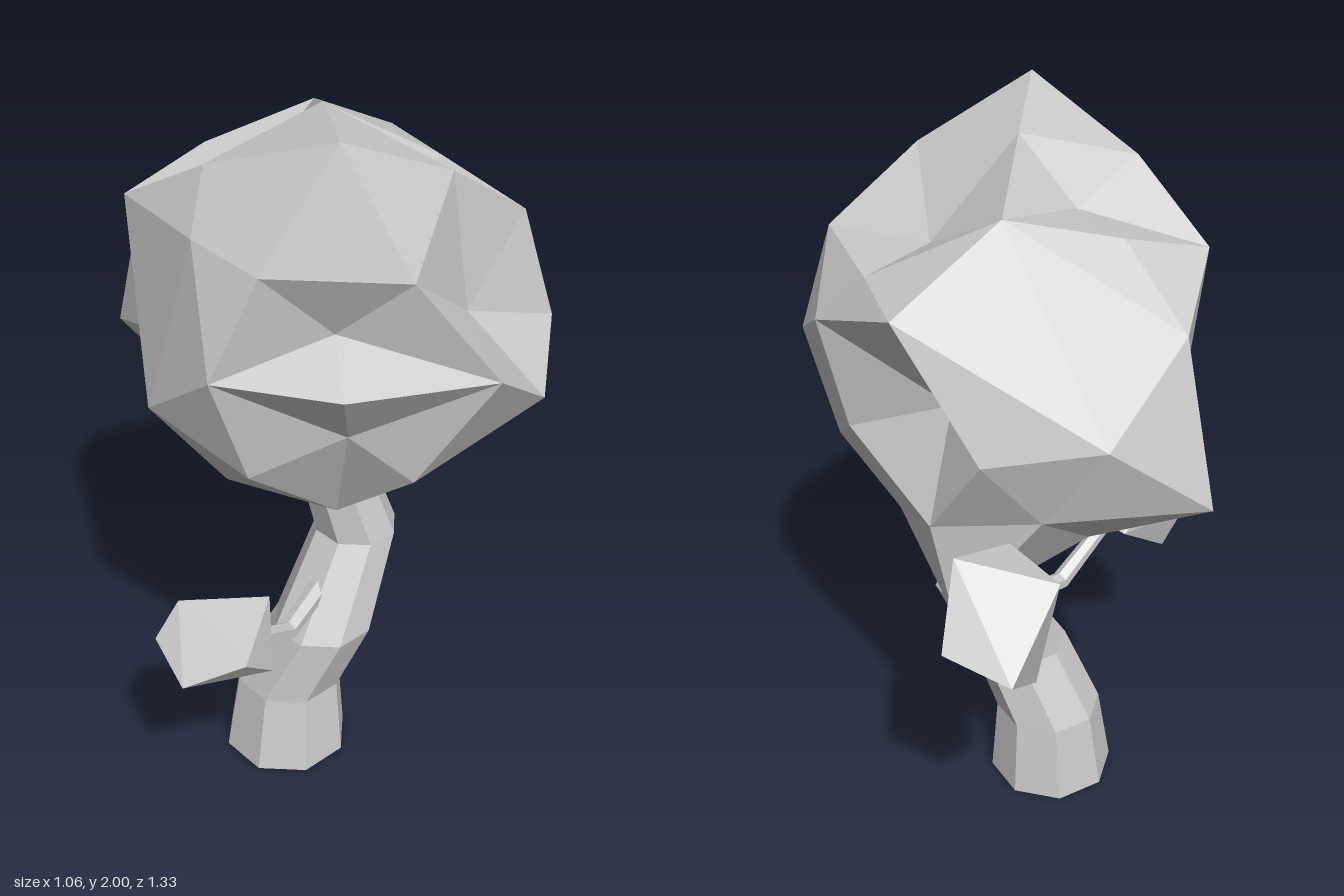
import * as THREE from 'three';
import { ConvexGeometry } from 'three/addons/geometries/ConvexGeometry.js';

const material = new THREE.MeshStandardMaterial({ color: 0xcccccc, flatShading: true });
const UP = new THREE.Vector3(0, 1, 0);

function addMesh(parent, name, geometry) {
  geometry.computeVertexNormals();
  const mesh = new THREE.Mesh(geometry, material);
  mesh.name = name;
  parent.add(mesh);
}

const toVectors = (corners) => corners.map((c) => new THREE.Vector3(...c));

// Bent tapering limb: each ring is [x, y, z, radius]; tilted rings follow the path.
function limb(rings, sides, spin, tilted) {
  const last = rings.length - 1;
  const geometry = new THREE.CylinderGeometry(1, 1, last, sides, last);
  geometry.rotateY(spin);
  const centres = rings.map(([x, y, z]) => new THREE.Vector3(x, y, z));
  const turns = centres.map((c, i) => {
    const dir = centres[Math.min(i + 1, last)].clone().sub(centres[Math.max(i - 1, 0)]).normalize();
    return new THREE.Quaternion().setFromUnitVectors(UP, tilted ? dir : UP);
  });
  const pos = geometry.attributes.position;
  const v = new THREE.Vector3();
  for (let i = 0; i < pos.count; i++) {
    v.fromBufferAttribute(pos, i);
    const k = Math.round(v.y + last / 2);
    v.y = 0;
    v.multiplyScalar(rings[k][3]).applyQuaternion(turns[k]).add(centres[k]);
    pos.setXYZ(i, v.x, v.y, v.z);
  }
  return geometry;
}

// Faceted crown: the corners are joined as seen from the centre, which allows dents and spikes.
function crown(corners, centre) {
  const points = toVectors(corners);
  const dirs = points.map((p) => p.clone().sub(centre).normalize());
  const geometry = new ConvexGeometry(dirs);
  const pos = geometry.attributes.position;
  const v = new THREE.Vector3();
  for (let i = 0; i < pos.count; i++) {
    v.fromBufferAttribute(pos, i);
    let best = 0;
    dirs.forEach((d, k) => { if (d.distanceToSquared(v) < dirs[best].distanceToSquared(v)) best = k; });
    pos.setXYZ(i, points[best].x, points[best].y, points[best].z);
  }
  return geometry;
}

export function createModel() {
  const tree = new THREE.Group();
  tree.name = 'tree';

  // Bent eight-sided trunk
  addMesh(tree, 'trunk', limb([
    [-0.065, 0, 0.035, 0.178],
    [-0.055, 0.235, 0.035, 0.15],
    [0.022, 0.445, 0.095, 0.14],
    [0.148, 0.7, 0.045, 0.115],
    [0.06, 1.0, 0.02, 0.095],
  ], 8, 0.65, false));

  // Crooked side branches
  addMesh(tree, 'rightBranch', limb([
    [0.02, 0.575, 0.1, 0.03], [-0.14, 0.535, 0.2, 0.027], [-0.33, 0.66, 0.31, 0.02],
  ], 6, 0, true));
  addMesh(tree, 'backBranch', limb([
    [0.14, 0.675, 0, 0.035], [0.18, 0.69, -0.2, 0.028], [0.23, 0.9, -0.41, 0.02],
  ], 6, 0, true));

  // Faceted leaf clusters on the branch ends
  addMesh(tree, 'rightLeafCluster', new ConvexGeometry(toVectors([
    [-0.275, 0.83, 0.375], [-0.39, 0.73, 0.48], [-0.53, 0.69, 0.24], [-0.53, 0.66, 0.41],
    [-0.48, 0.55, 0.27], [-0.455, 0.77, 0.22], [-0.245, 0.7, 0.28], [-0.29, 0.63, 0.42],
    [-0.33, 0.67, 0.19],
  ])));
  addMesh(tree, 'backLeafCluster', new ConvexGeometry(toVectors([
    [0.32, 1.16, -0.45], [0.38, 0.97, -0.56], [0.24, 0.925, -0.67], [0.14, 0.8, -0.52],
    [0.09, 1.11, -0.55], [0.16, 1.11, -0.36], [0.18, 1.0, -0.3], [0.34, 0.86, -0.405],
  ])));

  // Main crown, listed from the top down
  addMesh(tree, 'crown', crown([
    [-0.11, 2, 0.4], [0.01, 1.96, 0.09], [0.2, 1.86, 0.36], [0.12, 1.86, -0.165],
    [-0.11, 1.79, 0.005], [-0.165, 1.79, -0.19], [-0.295, 1.87, 0.1], [0.24, 1.72, 0.06],
    [0.445, 1.69, 0.3], [0.01, 1.7, 0.53], [-0.295, 1.715, 0.38], [-0.375, 1.75, 0.205],
    [-0.395, 1.72, -0.145], [-0.26, 1.62, -0.38], [0.41, 1.7, -0.28], [0.42, 1.7, -0.04],
    [0.53, 1.56, 0.05], [0.53, 1.4, 0.33], [0.165, 1.48, 0.66], [-0.165, 1.45, 0.54],
    [0.24, 1.51, 0.39], [0.42, 1.27, 0.48], [0.035, 1.165, 0.52], [-0.4, 1.45, 0.33],
    [-0.455, 1.27, 0.09], [0.24, 1.36, -0.4], [-0.05, 1.39, -0.465], [-0.31, 1.195, -0.48],
    [0.25, 1.4, -0.17], [-0.105, 1.53, 0.38], [-0.1, 1.285, 0.44], [-0.305, 1.165, 0.33],
    [0.47, 1.265, 0.03], [0.465, 1.115, 0.25], [0.33, 1.11, -0.24], [0.28, 0.83, -0.24],
    [-0.25, 0.99, 0.08], [-0.05, 0.97, 0.3], [0.34, 0.95, 0.1], [0.08, 0.9, 0.12],
    [-0.1, 0.95, -0.17], [-0.33, 1.34, -0.12], [0.08, 1.15, -0.36],
  ], new THREE.Vector3(0.04, 1.38, 0.05)));

  return tree;
}
